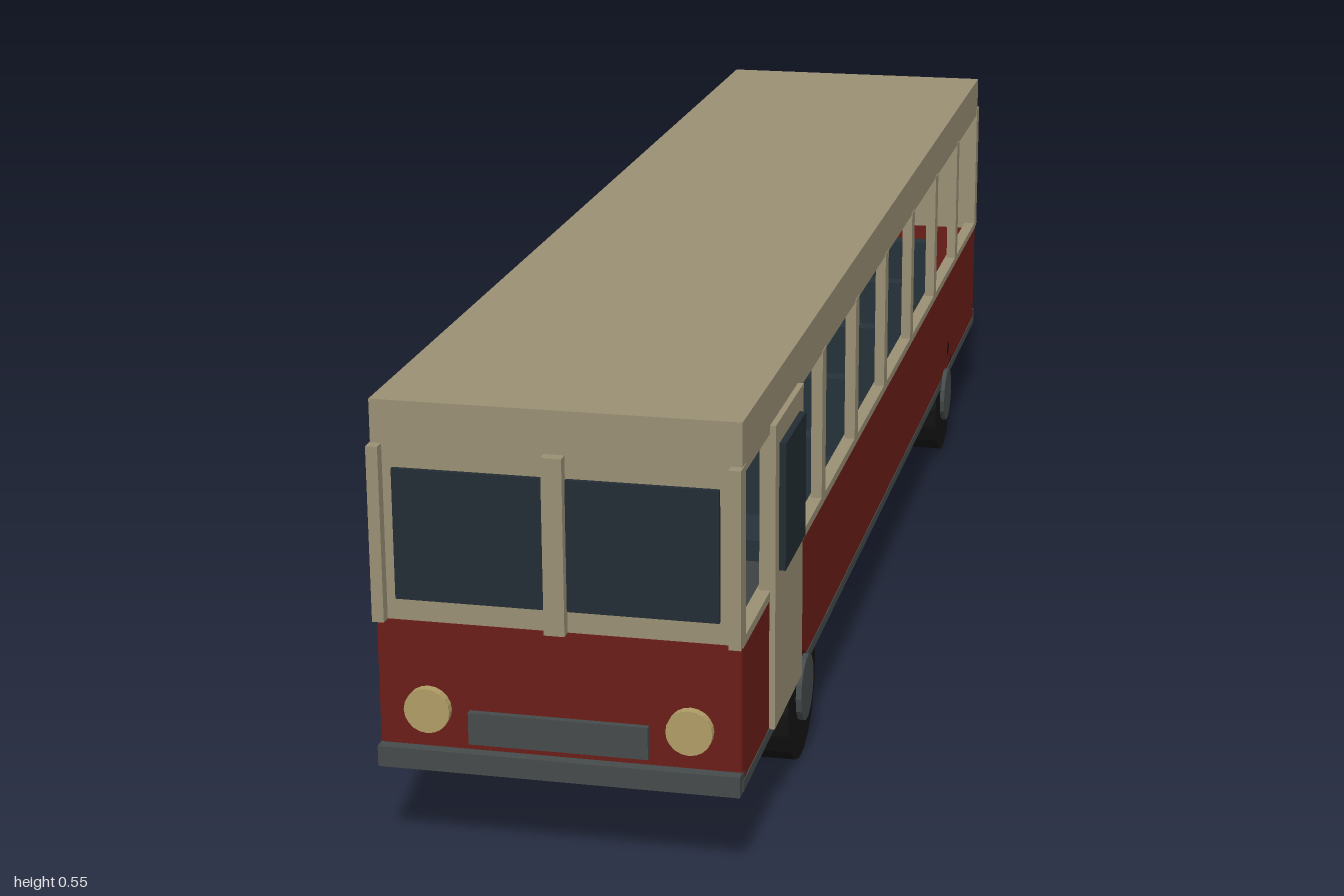
import * as THREE from 'three';

const mat = (color) => new THREE.MeshStandardMaterial({ color, flatShading: true });

export function createModel() {
  const bus = new THREE.Group();
  bus.name = 'bus';
  const cream = mat(0x9a8f74), red = mat(0x6a1d17), glass = mat(0x222c33), steel = mat(0x454a4a);
  const rubber = mat(0x141414), under = mat(0x242726), lamp = mat(0xb09c66), seatBlue = mat(0x26323a);
  const C = -0.005; // body centre line
  const H = 0.212; // body half width

  // Box from its minimum and maximum corners
  function box(name, material, [x0, x1], [y0, y1], [z0, z1], parent = bus) {
    const mesh = new THREE.Mesh(new THREE.BoxGeometry(x1 - x0, y1 - y0, z1 - z0), material);
    mesh.position.set((x0 + x1) / 2, (y0 + y1) / 2, (z0 + z1) / 2);
    mesh.name = name;
    parent.add(mesh);
    return mesh;
  }
  function disc(name, material, r, length, sides, x, y, z, axis) {
    const geo = new THREE.CylinderGeometry(r, r, length, sides);
    if (axis === 'x') geo.rotateZ(Math.PI / 2); else geo.rotateX(Math.PI / 2);
    const mesh = new THREE.Mesh(geo, material);
    mesh.position.set(x, y, z);
    mesh.name = name;
    bus.add(mesh);
  }
  // Ordered x range between two offsets from the centre line, on side s
  const across = (s, a, b) => [C + s * a, C + s * b].sort((p, q) => p - q);

  // Shell
  const full = [C - H, C + H];
  box('chassis', under, full, [0.112, 0.122], [-0.985, 0.985]);
  box('floor', steel, [C - 0.2, C + 0.2], [0.122, 0.132], [-0.97, 0.97]);
  box('roof', cream, full, [0.487, 0.548], [-0.985, 0.985]);

  for (const s of [-1, 1]) {
    box('sidePanel', red, across(s, H, H - 0.014), [0.122, 0.288], [-0.985, 0.985]);
    box('windowSill', cream, across(s, H + 0.001, H - 0.016), [0.286, 0.297], [-0.985, 0.985]);
    box('sideSkirt', steel, across(s, H + 0.001, H - 0.014), [0.112, 0.125], [-0.985, 0.985]);
    for (let i = -3; i <= 3; i++) {
      const z = i * 0.246;
      box('windowPost', cream, across(s, H + 0.001, H - 0.013), [0.29, 0.49], [z - 0.013, z + 0.013]);
    }
    for (const e of [-1, 1]) {
      const z = e * 0.985;
      box('cornerPost', cream, across(s, H + 0.001, H - 0.013), [0.288, 0.497], [z - 0.014, z + 0.014]);
      // Wheels
      disc('tyre', rubber, 0.09, 0.048, 18, C + s * 0.188, 0.09, e * 0.626, 'x');
      disc('hub', steel, 0.042, 0.061, 14, C + s * 0.1885, 0.091, e * 0.626, 'x');
    }
    // Headlights
    disc('headlight', lamp, 0.027, 0.02, 20, C + s * 0.153, 0.183, 0.987, 'z');
  }

  // Front and rear ends
  for (const e of [-1, 1]) {
    const depth = (a, b) => [e * a, e * b].sort((p, q) => p - q);
    box('endPanel', red, [C - H + 0.001, C + H - 0.001], [0.122, 0.288], depth(0.971, 0.986));
    box('endWall', cream, [C - H + 0.001, C + H - 0.001], [0.288, 0.49], depth(0.971, 0.985));
    box('endPost', cream, [C - 0.012, C + 0.012], [0.288, 0.497], depth(0.971, 0.999));
    box('bumper', steel, full, [0.111, 0.136], depth(0.975, 1));
    for (const s of [-1, 1]) box('endWindow', glass, across(s, 0.013, 0.187), [0.315, 0.47], depth(0.98, 0.991));
  }
  box('grille', steel, [C - 0.105, C + 0.105], [0.145, 0.184], [0.98, 0.994]);

  // Entrance door and steps
  box('door', cream, [0.195, 0.214], [0.124, 0.497], [0.665, 0.835]);
  box('doorWindow', glass, [0.205, 0.222], [0.315, 0.47], [0.69, 0.814]);
  box('upperStep', steel, [0.065, 0.179], [0.078, 0.089], [0.665, 0.835]);
  box('lowerStep', steel, [0.092, 0.15], [0.036, 0.049], [0.665, 0.835]);
  box('entrancePartition', rubber, [-0.035, 0.1], [0.13, 0.43], [0.745, 0.757]);

  // Seat rows
  for (let row = 0; row < 5; row++) {
    for (const s of [-1, 1]) {
      const seat = new THREE.Group();
      seat.name = 'seat';
      const z = 0.38 - row * 0.26;
      box('seatCushion', seatBlue, across(s, 0.055, 0.185), [0.2, 0.228], [z - 0.012, z + 0.11], seat);
      box('seatBack', seatBlue, across(s, 0.055, 0.185), [0.2, 0.34], [z - 0.013, z + 0.013], seat);
      box('seatBase', steel, across(s, 0.08, 0.16), [0.13, 0.2], [z + 0.01, z + 0.09], seat);
      bus.add(seat);
    }
  }
  return bus;
}
